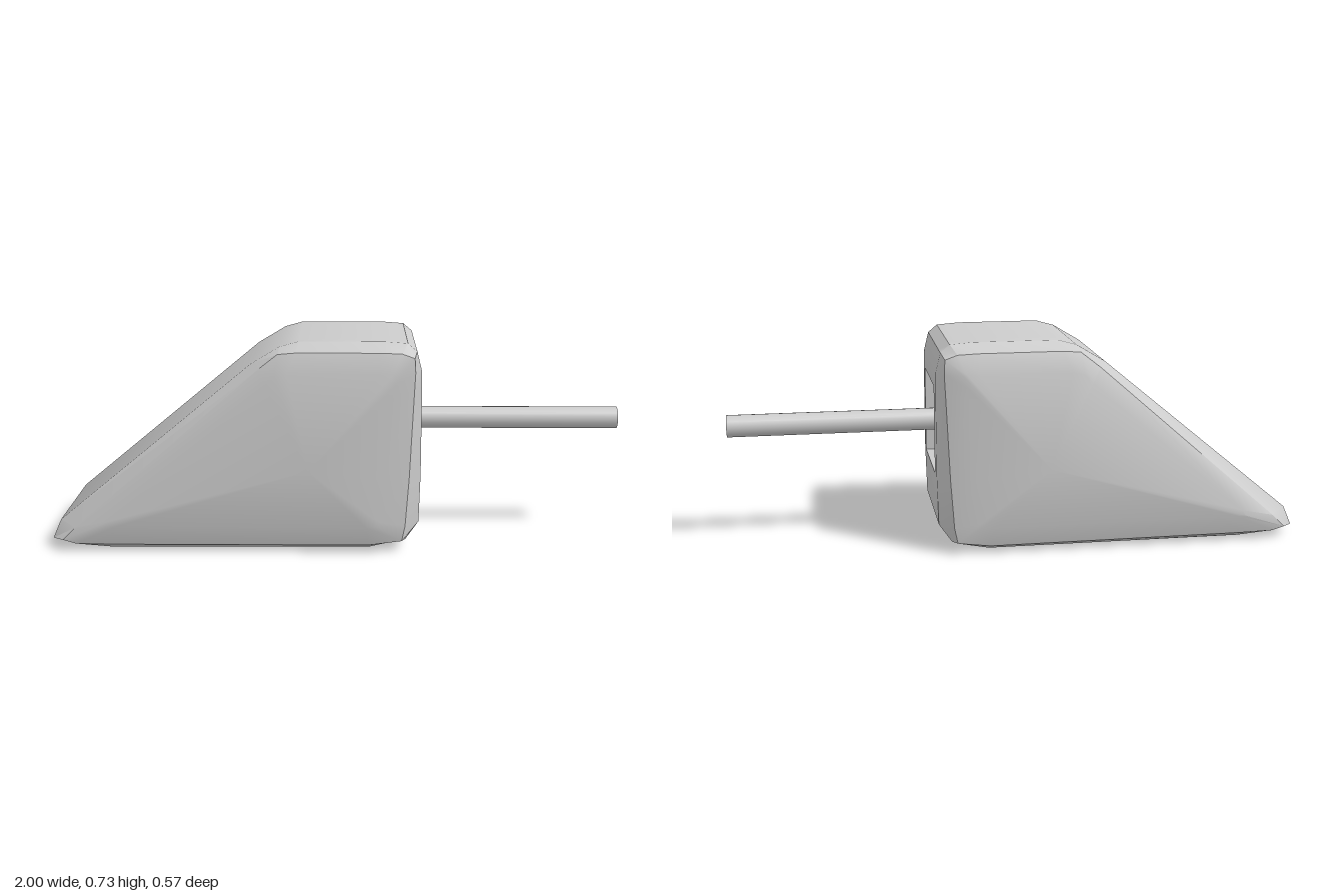
import * as THREE from 'three';
import { toCreasedNormals } from 'three/addons/utils/BufferGeometryUtils.js';

// Side profile, clockwise from the nose: [full x, y, inset x, y, cap x, y]
const PROFILE = [
  [-1, .035, -.955, .045, -.80, .10],
  [-.97, .103, -.91, .09, -.79, .12],
  [-.295, .66, -.27, .648, -.24, .60],
  [-.195, .72, -.20, .703, -.21, .63],
  [-.13, .738, -.14, .708, -.17, .64],
  [.16, .738, .15, .708, .15, .64],
  [.24, .732, .22, .705, .19, .64],
  [.272, .705, .262, .69, .20, .635],
  [.288, .64, .265, .64, .195, .60],
  [.29, .58, .262, .58, .188, .56],
  [.29, .27, .248, .27, .16, .27],
  [.285, .10, .236, .10, .145, .12],
  [.24, .035, .225, .045, .14, .105],
  [.11, .005, .11, .03, .10, .10],
  [-.80, .003, -.80, .03, -.70, .10],
  [-.91, .012, -.91, .032, -.77, .10],
];
// Rings across the width: [z, profile level]
const RINGS = [[-.284, 2], [-.263, 1], [-.21, 0], [-.15, 0], [.17, 0], [.21, 0], [.263, 1], [.284, 2]];
const HOLE_ROW = 9, HOLE_RING = 3; // the open cell in the rear face

function meshFrom(name, positions, material, crease) {
  const g = new THREE.BufferGeometry();
  g.setAttribute('position', new THREE.Float32BufferAttribute(positions, 3));
  const mesh = new THREE.Mesh(toCreasedNormals(g, crease), material);
  mesh.name = name;
  return mesh;
}

function addQuad(out, a, b, c, d) {
  out.push(...a, ...b, ...c, ...a, ...c, ...d);
}

// Chamfered wedge lofted across its width, leaving the rear opening free
function makeBody(material) {
  const out = [], n = PROFILE.length;
  const rings = RINGS.map(([z, level]) => PROFILE.map(p => [p[level * 2], p[level * 2 + 1], z]));
  for (let k = 0; k < rings.length - 1; k++) {
    for (let i = 0; i < n; i++) {
      if (k === HOLE_RING && i === HOLE_ROW) continue;
      const j = (i + 1) % n;
      addQuad(out, rings[k][i], rings[k + 1][i], rings[k + 1][j], rings[k][j]);
    }
  }
  // Flat side panels
  for (const side of [-1, 1]) {
    const ring = rings[side > 0 ? rings.length - 1 : 0];
    const mid = [-.1, .3, side * .285];
    for (let i = 0; i < n; i++) {
      const j = (i + 1) % n;
      if (side > 0) out.push(...mid, ...ring[j], ...ring[i]);
      else out.push(...mid, ...ring[i], ...ring[j]);
    }
  }
  return meshFrom('body', out, material, .5);
}

// Tapered pocket behind the rear opening
function makeRecess(material) {
  const rect = (x, z0, z1, y0, y1) => [[x, y0, z0], [x, y0, z1], [x, y1, z1], [x, y1, z0]];
  const outer = rect(.29, .17, -.15, .27, .58);
  const inner = rect(.11, .145, -.145, .275, .552);
  const out = [];
  for (let i = 0; i < 4; i++) {
    const j = (i + 1) % 4;
    addQuad(out, outer[i], outer[j], inner[j], inner[i]);
  }
  addQuad(out, ...inner);
  return meshFrom('recess', out, material, .3);
}

export function createModel() {
  const group = new THREE.Group();
  const material = new THREE.MeshStandardMaterial({ color: 0xcccccc });
  group.add(makeBody(material), makeRecess(material));

  // Rod running out of the pocket
  const length = .89;
  const rod = new THREE.Mesh(new THREE.CylinderGeometry(.039, .039, length, 20), material);
  rod.name = 'rod';
  rod.rotation.z = -Math.PI / 2;
  rod.position.set(1 - length / 2, .427, .005);
  group.add(rod);
  return group;
}
